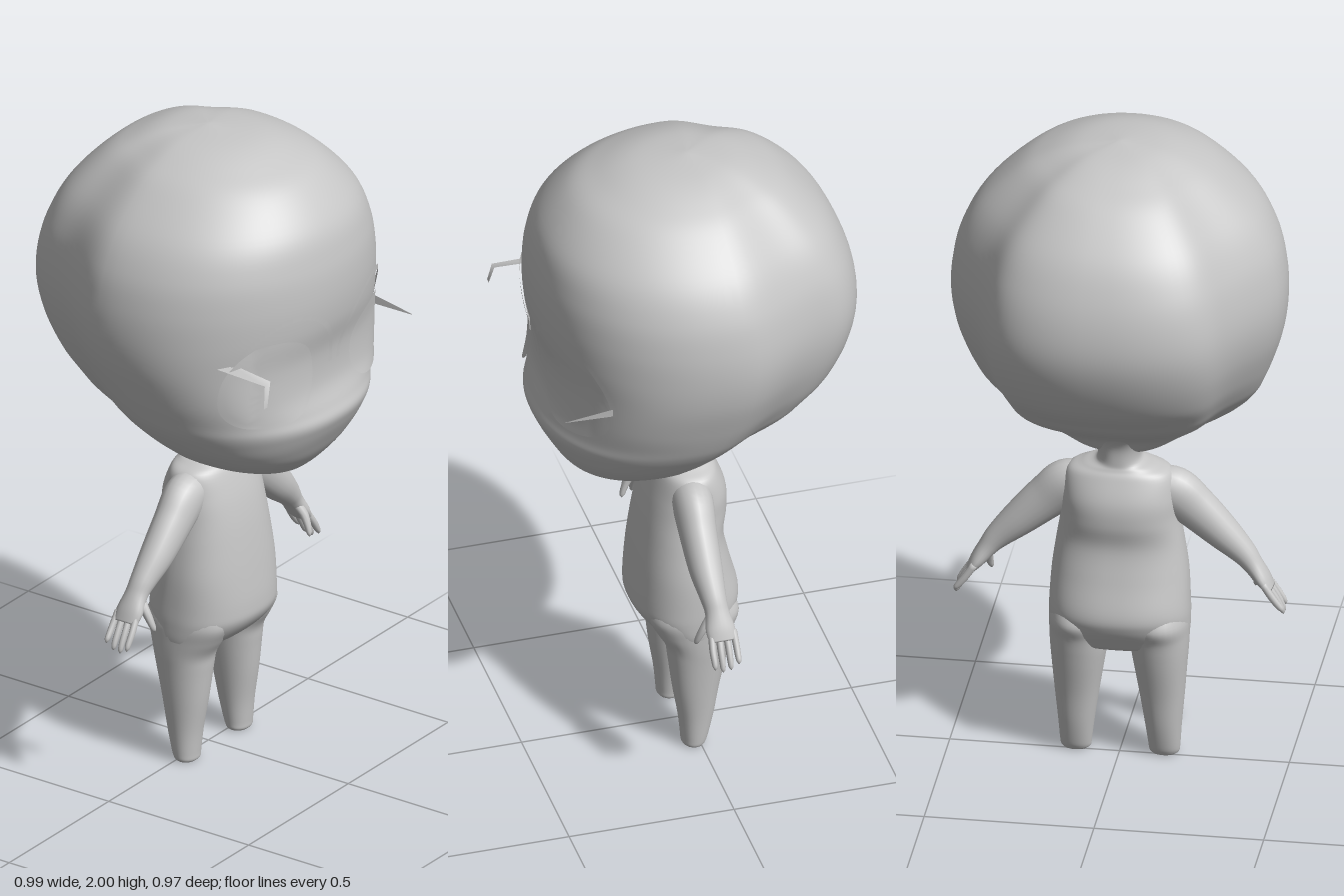
import * as THREE from 'three';

const grey = new THREE.MeshStandardMaterial({ color: 0xc6c6c6, side: THREE.DoubleSide });
grey.name = 'plainGrey';

// Catmull-Rom resampling of rows of numbers
function smooth(rows, n = 6) {
  const out = [];
  const at = (i) => rows[Math.min(Math.max(i, 0), rows.length - 1)];
  for (let i = 0; i < rows.length - 1; i++) {
    const [a, b, c, d] = [at(i - 1), at(i), at(i + 1), at(i + 2)];
    for (let k = 0; k < n; k++) {
      const t = k / n;
      out.push(b.map((_, j) => 0.5 * (2 * b[j] + (c[j] - a[j]) * t
        + (2 * a[j] - 5 * b[j] + 4 * c[j] - d[j]) * t * t
        + (3 * b[j] - a[j] - 3 * c[j] + d[j]) * t ** 3)));
    }
  }
  out.push(rows[rows.length - 1]);
  return out;
}

function surface(pos, idx) {
  const g = new THREE.BufferGeometry();
  g.setAttribute('position', new THREE.Float32BufferAttribute(pos, 3));
  g.setIndex(idx);
  g.computeVertexNormals();
  return g;
}

// Skin over a list of closed rings of [x, y, z]
function skin(rings, capEnd = true) {
  const n = rings[0].length, pos = rings.flat(2), idx = [];
  for (let i = 0; i < rings.length - 1; i++) {
    for (let j = 0; j < n; j++) {
      const a = i * n + j, b = i * n + (j + 1) % n;
      idx.push(a, b, a + n, b, b + n, a + n);
    }
  }
  const cap = (i, flip) => {
    const c = pos.length / 3;
    for (let k = 0; k < 3; k++) pos.push(rings[i].reduce((s, p) => s + p[k], 0) / n);
    for (let j = 0; j < n; j++) {
      const a = i * n + j, b = i * n + (j + 1) % n;
      if (flip) idx.push(c, b, a); else idx.push(c, a, b);
    }
  };
  cap(0, true);
  if (capEnd) cap(rings.length - 1, false);
  return surface(pos, idx);
}

// Level rings from rows [y, halfWidth, zFront, zBack, zWidest, xCentre, frontRoundness];
// pinch narrows the rear quarters
const bend = (v, p) => Math.sign(v) * Math.abs(v) ** (2 / p);
function levelRings(rows, pBack, pinch = 0, n = 64) {
  return rows.map(([y, w, zf, zb, zm, cx, pFront]) => Array.from({ length: n }, (_, j) => {
    const t = (j / n) * Math.PI * 2, c = Math.cos(t), s = Math.sin(t);
    if (s >= 0) return [cx + w * bend(c, pFront), y, zm + (zf - zm) * bend(s, pFront)];
    const q = -bend(s, pBack);
    const k = 1 - pinch * Math.sin(Math.PI * q ** 1.2) ** 2;
    return [cx + w * k * bend(c, pBack), y, zm + (zb - zm) * q];
  }));
}

// Limb along rows [x, y, z, radius across, radius along z]
function limb(rows, n = 20, steps = 6) {
  const r = smooth(rows, steps);
  return skin(r.map(([x, y, z, ru, rv], i) => {
    const a = r[Math.max(i - 1, 0)], b = r[Math.min(i + 1, r.length - 1)];
    const l = Math.hypot(b[0] - a[0], b[1] - a[1]) || 1;
    const ux = -(b[1] - a[1]) / l, uy = (b[0] - a[0]) / l;
    return Array.from({ length: n }, (_, j) => {
      const t = (j / n) * Math.PI * 2, c = Math.cos(t) * ru;
      return [x + ux * c, y + uy * c, z + Math.sin(t) * rv];
    });
  }));
}

const HEAD = smooth([
  [2.0, 0.01, 0.01, -0.01, 0, 0, 2.1], [1.985, 0.13, 0.16, -0.13, 0, 0, 2.1],
  [1.95, 0.225, 0.265, -0.22, 0, 0, 2.1], [1.9, 0.305, 0.355, -0.3, 0, 0, 2.1],
  [1.8, 0.408, 0.438, -0.395, 0, 0, 2.1], [1.7, 0.464, 0.468, -0.45, 0, 0, 2.1],
  [1.6, 0.488, 0.476, -0.48, 0, 0, 2.1], [1.5, 0.492, 0.468, -0.485, 0, 0, 2.15],
  [1.4, 0.478, 0.445, -0.46, 0.01, 0, 2.3], [1.3, 0.447, 0.442, -0.41, 0.03, 0, 2.4],
  [1.23, 0.42, 0.462, -0.345, 0.05, 0, 2.25], [1.19, 0.4, 0.474, -0.305, 0.07, 0, 2.2],
  [1.15, 0.372, 0.46, -0.245, 0.09, 0, 2.25], [1.1, 0.328, 0.432, -0.155, 0.12, 0, 2.35],
  [1.05, 0.268, 0.4, -0.08, 0.15, 0, 2.35], [1.0, 0.175, 0.355, -0.04, 0.17, 0, 2.2],
  [0.975, 0.1, 0.31, 0.02, 0.18, 0, 2.1], [0.965, 0.02, 0.22, 0.14, 0.18, 0, 2],
]);

// Depth of the face at x, y
function faceZ(x, y) {
  const i = Math.max(1, HEAD.findIndex((r) => r[0] <= y));
  const a = HEAD[i - 1], b = HEAD[i], t = (a[0] - y) / (a[0] - b[0]);
  const [, w, zf, , zm, , p] = a.map((v, k) => v + (b[k] - v) * t);
  return zm + (zf - zm) * (1 - Math.min(Math.abs(x) / w, 1) ** p) ** (1 / p);
}

// Curved eye plate on the face, tilted slightly upward; flare lifts its outer edge
function eyePlate(cx, cy, rx, ry, flare) {
  const pos = [], idx = [], R = 10, N = 40;
  for (let i = 0; i <= R; i++) {
    for (let j = 0; j < N; j++) {
      const t = (j / N) * Math.PI * 2;
      const x = cx + bend(Math.cos(t), 2.3) * rx * i / R, y = cy + bend(Math.sin(t), 2.3) * ry * i / R;
      pos.push(x, y, faceZ(x, y) + 0.008 - 0.05 * (y - cy) + flare * Math.max(0, Math.abs(x) - 0.3));
      const a = i * N + j, b = i * N + (j + 1) % N;
      if (i < R) idx.push(a, a + N, b, b, a + N, b + N);
    }
  }
  return surface(pos, idx);
}

// Flat ribbon through pairs of edge points
function ribbon(pairs) {
  const idx = [];
  for (let i = 0; i < pairs.length - 1; i++) idx.push(2 * i, 2 * i + 1, 2 * i + 2, 2 * i + 1, 2 * i + 3, 2 * i + 2);
  return surface(pairs.flat(2), idx);
}

export function createModel() {
  const model = new THREE.Group();
  model.name = 'bigHeadedFigure';
  const add = (name, geometry, parent = model) => {
    const m = new THREE.Mesh(geometry, grey);
    m.name = name;
    parent.add(m);
  };

  add('head', skin(levelRings(HEAD, 2.3, 0.14, 96)));

  // Neck flaring into the head, and torso
  add('torso', skin(levelRings(smooth([
    [1.12, 0.15, 0.09, -0.165, 0, 0, 2.2], [1.065, 0.088, 0.085, -0.096, 0, 0, 2.2],
    [1.02, 0.068, 0.08, -0.066, 0, 0, 2.2],
    [0.965, 0.066, 0.078, -0.06, 0.01, 0, 2.2], [0.945, 0.11, 0.088, -0.064, 0.01, 0, 2.3],
    [0.92, 0.155, 0.105, -0.078, 0.01, 0, 2.3], [0.85, 0.168, 0.13, -0.105, 0.01, 0, 2.3],
    [0.78, 0.173, 0.147, -0.108, 0.02, 0, 2.3], [0.7, 0.186, 0.16, -0.096, 0.02, 0, 2.3],
    [0.6, 0.2, 0.172, -0.115, 0.02, 0, 2.3], [0.5, 0.206, 0.18, -0.14, 0.01, 0, 2.3],
    [0.45, 0.207, 0.174, -0.132, 0.01, 0, 2.3], [0.4, 0.204, 0.135, -0.103, 0.01, 0, 2.3],
    [0.37, 0.19, 0.09, -0.08, 0.01, 0, 2.3], [0.352, 0.12, 0.05, -0.04, 0.01, 0, 2.3],
  ]), 2.3)));

  // Limbs, mirrored
  for (const [side, s] of [['left', 1], ['right', -1]]) {
    const half = new THREE.Group();
    half.name = side + 'Limbs';
    half.scale.x = s;
    model.add(half);
    add(side + 'Leg', skin(levelRings(smooth([
      [0.5, 0.075, 0.14, -0.1, 0.005, 0.118], [0.45, 0.087, 0.148, -0.122, 0.005, 0.118],
      [0.4, 0.087, 0.126, -0.105, 0, 0.118],
      [0.35, 0.084, 0.098, -0.094, 0, 0.119], [0.3, 0.078, 0.09, -0.083, 0, 0.121],
      [0.2, 0.066, 0.078, -0.06, 0.005, 0.125], [0.1, 0.054, 0.062, -0.042, 0.01, 0.128],
      [0.03, 0.047, 0.055, -0.025, 0.015, 0.13], [0.008, 0.044, 0.053, -0.016, 0.018, 0.13],
      [0, 0.036, 0.047, -0.01, 0.018, 0.13],
    ].map((r) => [...r, 2.1])), 2.1, 0, 32), false), half);
    add(side + 'Arm', limb([
      [0.07, 0.885, 0.02, 0.04, 0.055], [0.15, 0.858, 0.024, 0.072, 0.06],
      [0.22, 0.8, 0.028, 0.066, 0.055], [0.3, 0.725, 0.028, 0.053, 0.049],
      [0.36, 0.668, 0.024, 0.039, 0.039], [0.39, 0.632, 0.02, 0.03, 0.036],
      [0.42, 0.59, 0.018, 0.023, 0.044], [0.441, 0.56, 0.016, 0.014, 0.04],
    ]), half);
    // Four fingers and a thumb
    [0.051, 0.027, 0.003, -0.021].forEach((z, i) => {
      const d = [0.012, 0, 0.004, 0.02][i];
      add(side + 'Finger' + (i + 1), limb([
        [0.425, 0.585, z * 0.9, 0.011, 0.011], [0.452, 0.545, z, 0.011, 0.01],
        [0.471, 0.51 + d / 2, z, 0.01, 0.009], [0.48, 0.489 + d, z, 0.007, 0.007],
        [0.482, 0.48 + d, z, 0.001, 0.001],
      ], 10, 3), half);
    });
    add(side + 'Thumb', limb([
      [0.388, 0.63, 0.03, 0.016, 0.018], [0.396, 0.595, 0.056, 0.015, 0.015],
      [0.394, 0.56, 0.074, 0.012, 0.011], [0.39, 0.538, 0.082, 0.008, 0.008],
      [0.388, 0.529, 0.084, 0.001, 0.001],
    ], 10, 3), half);
  }

  // Eyes
  add('leftEye', eyePlate(0.22, 1.355, 0.14, 0.108, 0.1));
  add('rightEye', eyePlate(-0.252, 1.362, 0.15, 0.135, 0.4));

  // Arched upper lash lines
  for (const [side, s] of [['left', 1], ['right', -1]]) {
    const pairs = [];
    for (let i = 0; i <= 40; i++) {
      const t = Math.PI * (1 - i / 40);
      pairs.push([-0.008, 0.008].map((o) => {
        const x = s * (0.193 + (0.174 + o) * Math.cos(t)), y = 1.365 + (0.2 + o) * Math.sin(t);
        return [x, y, faceZ(x, y) + 0.007];
      }));
    }
    add(side + 'LashLine', ribbon(pairs));
  }

  // Stray lash tips pointing forward
  add('leftLashTip', ribbon([
    [[0.362, 1.365, 0.29], [0.366, 1.398, 0.29]],
    [[0.359, 1.369, 0.472], [0.36, 1.371, 0.472]],
  ]));
  add('rightLashTip', ribbon([
    [[-0.385, 1.44, 0.3], [-0.342, 1.45, 0.3]],
    [[-0.388, 1.435, 0.478], [-0.36, 1.44, 0.478]],
    [[-0.405, 1.37, 0.487], [-0.388, 1.37, 0.487]],
  ]));
  return model;
}
